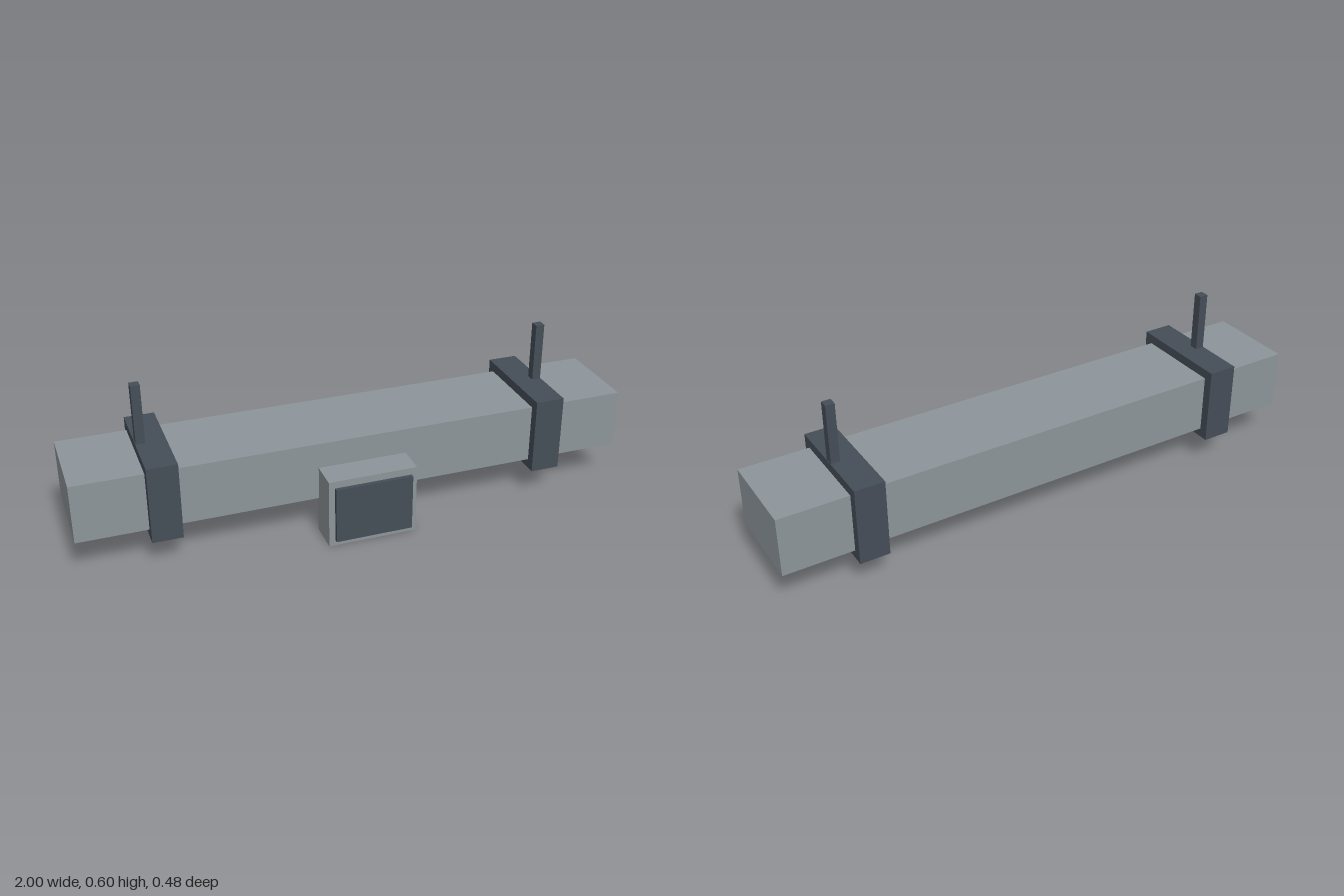
import * as THREE from 'three';

const grey = new THREE.MeshStandardMaterial({ color: 0x8d959a });
const dark = new THREE.MeshStandardMaterial({ color: 0x444d57 });

// Box given by its extents along each axis
function block(name, material, [x0, x1], [y0, y1], [z0, z1]) {
  const mesh = new THREE.Mesh(new THREE.BoxGeometry(x1 - x0, y1 - y0, z1 - z0), material);
  mesh.position.set((x0 + x1) / 2, (y0 + y1) / 2, (z0 + z1) / 2);
  mesh.name = name;
  return mesh;
}

export function createModel() {
  const model = new THREE.Group();
  model.name = 'hangingBeamUnit';

  // Long main beam
  model.add(block('beam', grey, [-1, 1], [0.134, 0.347], [-0.206, 0.115]));

  // Clamp bands with hanger rods near their outer edges
  for (const side of [-1, 1]) {
    const hanger = new THREE.Group();
    hanger.name = side > 0 ? 'leftHanger' : 'rightHanger';
    const clamp = block('clamp', dark, [-0.053, 0.053], [0.101, 0.381], [-0.239, 0.149]);
    clamp.position.x = side * 0.7;
    const rod = block('rod', dark, [-0.016, 0.016], [0.381, 0.595], [-0.061, -0.029]);
    rod.position.x = side * 0.735;
    hanger.add(clamp, rod);
    model.add(hanger);
  }

  // Display box on the front, with its screen panel
  model.add(block('displayHousing', grey, [-0.16, 0.16], [0, 0.254], [0.101, 0.222]));
  model.add(block('screen', dark, [-0.139, 0.139], [0.024, 0.23], [0.225, 0.24]));

  return model;
}
